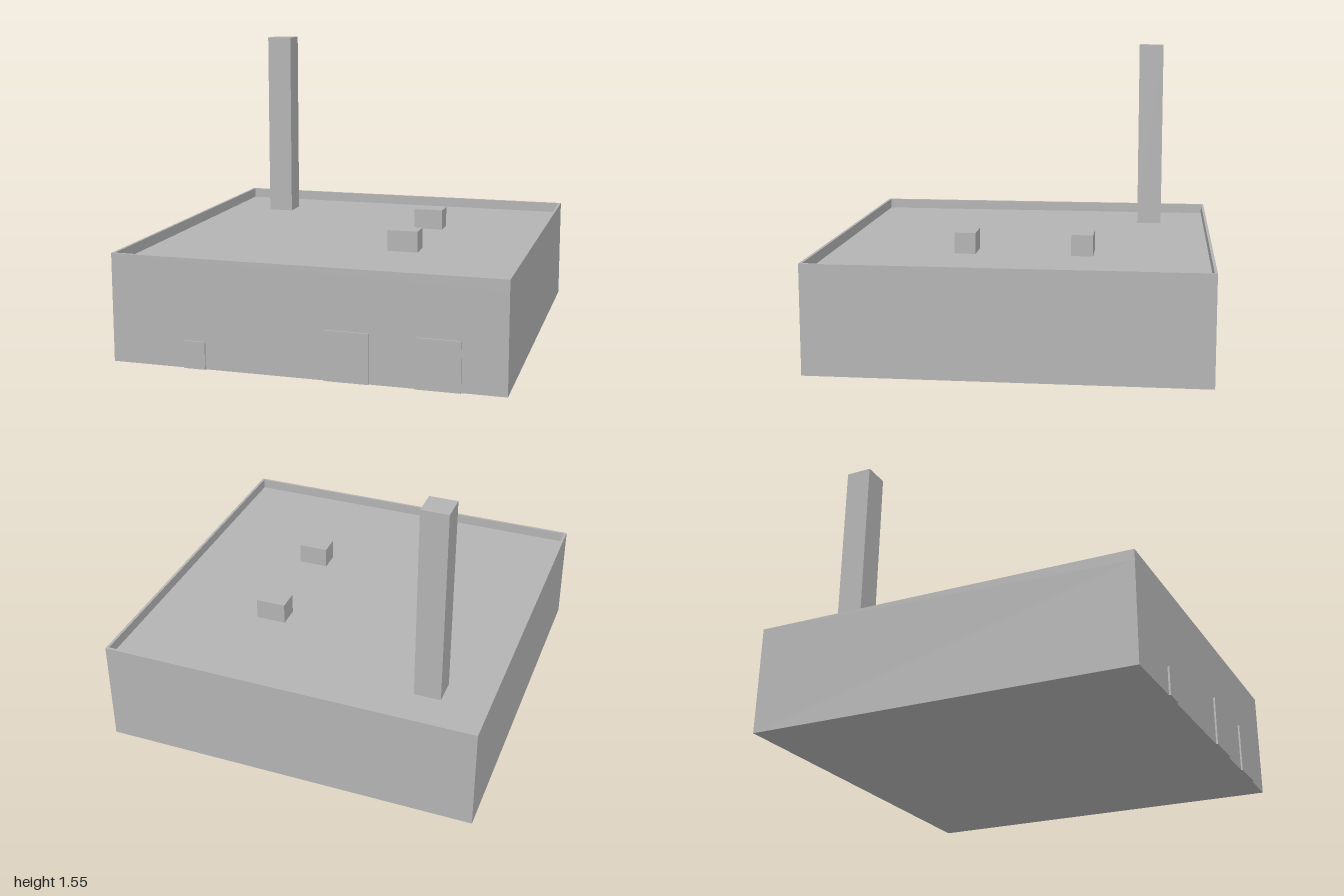
import * as THREE from 'three';

export function createModel() {
  const model = new THREE.Group();
  const concrete = new THREE.MeshStandardMaterial({ color: 0xb3b3b3 });
  concrete.name = 'concrete grey';

  const X = 0.993, BACK = -1, FRONT = 0.987; // building footprint
  const ROOF = 0.5, TOP = 0.555, WALL = 0.014;

  // Box given by its limits on each axis
  function block(name, [x0, x1], [y0, y1], [z0, z1]) {
    const mesh = new THREE.Mesh(new THREE.BoxGeometry(x1 - x0, y1 - y0, z1 - z0), concrete);
    mesh.position.set((x0 + x1) / 2, (y0 + y1) / 2, (z0 + z1) / 2);
    mesh.name = name;
    model.add(mesh);
  }

  // Rectangular outline in plan, moved in from the footprint
  function outline(Path, inset) {
    const x = X - inset, a = -FRONT + inset, b = -BACK - inset;
    return new Path([[-x, a], [x, a], [x, b], [-x, b]].map(p => new THREE.Vector2(...p)));
  }

  // Main hall up to the roof deck
  block('hall', [-X, X], [0, ROOF], [BACK, FRONT]);

  // Parapet rim around the roof
  const ring = outline(THREE.Shape, 0);
  ring.holes.push(outline(THREE.Path, WALL));
  const rim = new THREE.ExtrudeGeometry(ring, { depth: TOP - ROOF, bevelEnabled: false });
  rim.rotateX(-Math.PI / 2).translate(0, ROOF, 0);
  const parapet = new THREE.Mesh(rim, concrete);
  parapet.name = 'parapet';
  model.add(parapet);

  // Chimney and roof vents
  block('chimney', [-0.735, -0.595], [ROOF, 1.55], [-0.738, -0.6]);
  block('rearVent', [0.25, 0.41], [ROOF, 0.61], [-0.393, -0.28]);
  block('frontVent', [0.25, 0.41], [ROOF, 0.61], [0.217, 0.328]);

  // Doors standing slightly proud of the front wall
  block('smallDoor', [-0.61, -0.5], [0, 0.14], [FRONT, 0.996]);
  block('rightGate', [0.11, 0.33], [0, 0.25], [FRONT, 0.996]);
  block('leftGate', [0.555, 0.775], [0, 0.25], [FRONT, 0.996]);

  return model;
}
